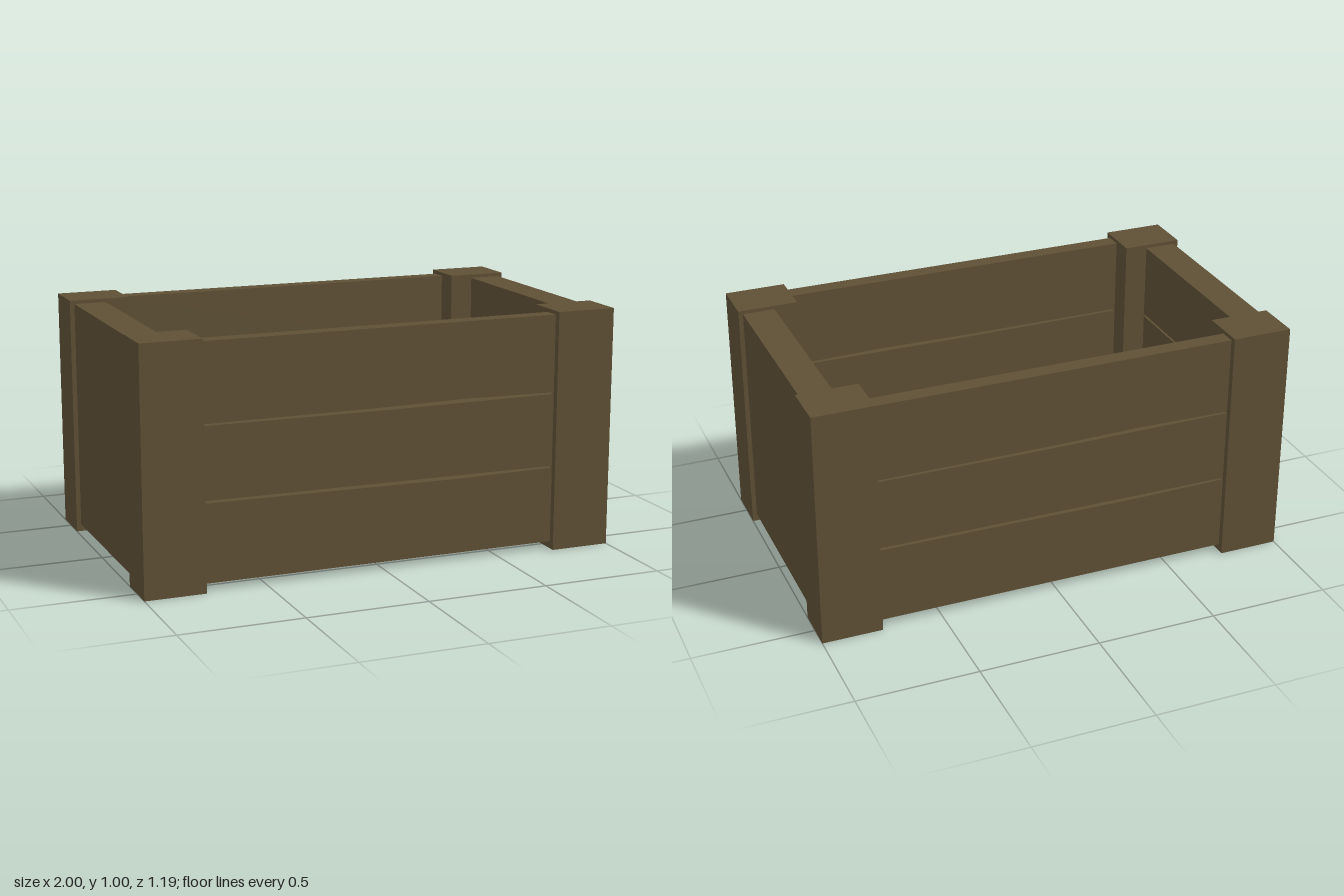
import * as THREE from 'three';

export function createModel() {
  const crate = new THREE.Group();
  crate.name = 'crate';
  const wood = new THREE.MeshStandardMaterial({ name: 'brown wood', color: 0x5f5035, flatShading: true });

  const add = (name, geometry) => {
    const mesh = new THREE.Mesh(geometry, wood);
    mesh.name = name;
    crate.add(mesh);
    return mesh;
  };
  // Box given by its limits on each axis
  const box = (name, x0, x1, y0, y1, z0, z1) => {
    const mesh = add(name, new THREE.BoxGeometry(x1 - x0, y1 - y0, z1 - z0));
    mesh.position.set((x0 + x1) / 2, (y0 + y1) / 2, (z0 + z1) / 2);
  };

  // Corner posts
  for (const sx of [-1, 1]) for (const sz of [-1, 1]) {
    box('cornerPost', sx * 0.875 - 0.125, sx * 0.875 + 0.125, 0, 0.995,
      sz * 0.498 - 0.098, sz * 0.498 + 0.098);
  }

  // Long slats with slightly uneven edges: [x, y] outlines
  const slats = [
    [[-0.76, 0.03], [0.76, 0.03], [0.76, 0.345], [0.35, 0.34], [-0.76, 0.35]],
    [[-0.76, 0.36], [0.76, 0.352], [0.76, 0.654], [0, 0.65], [-0.76, 0.654]],
    [[-0.76, 0.661], [0, 0.662], [0.35, 0.667], [0.76, 0.66], [0.76, 0.98], [-0.76, 0.98]],
  ];
  for (const side of [1, -1]) {
    for (const outline of slats) {
      const shape = new THREE.Shape(outline.map(([x, y]) => new THREE.Vector2(x, y)));
      const slat = add(side > 0 ? 'frontSlat' : 'backSlat',
        new THREE.ExtrudeGeometry(shape, { depth: 0.068, bevelEnabled: false }));
      slat.position.z = 0.5;
      if (side < 0) {
        slat.rotation.y = Math.PI;
        slat.position.z = -0.502;
      }
    }
  }

  // End walls: inner boards closed off by a flat outer sheet
  for (const s of [-1, 1]) {
    for (const [y0, y1] of [[0.03, 0.345], [0.355, 0.652], [0.662, 0.98]]) {
      box('endBoard', s * 0.91 - 0.062, s * 0.91 + 0.062, y0, y1, -0.41, 0.41);
    }
    box('endSheet', s * 0.976 - 0.005, s * 0.976 + 0.005, 0.03, 0.98, -0.41, 0.41);
  }

  // Raised floor
  box('floor', -0.86, 0.86, 0.1, 0.15, -0.51, 0.51);

  return crate;
}
